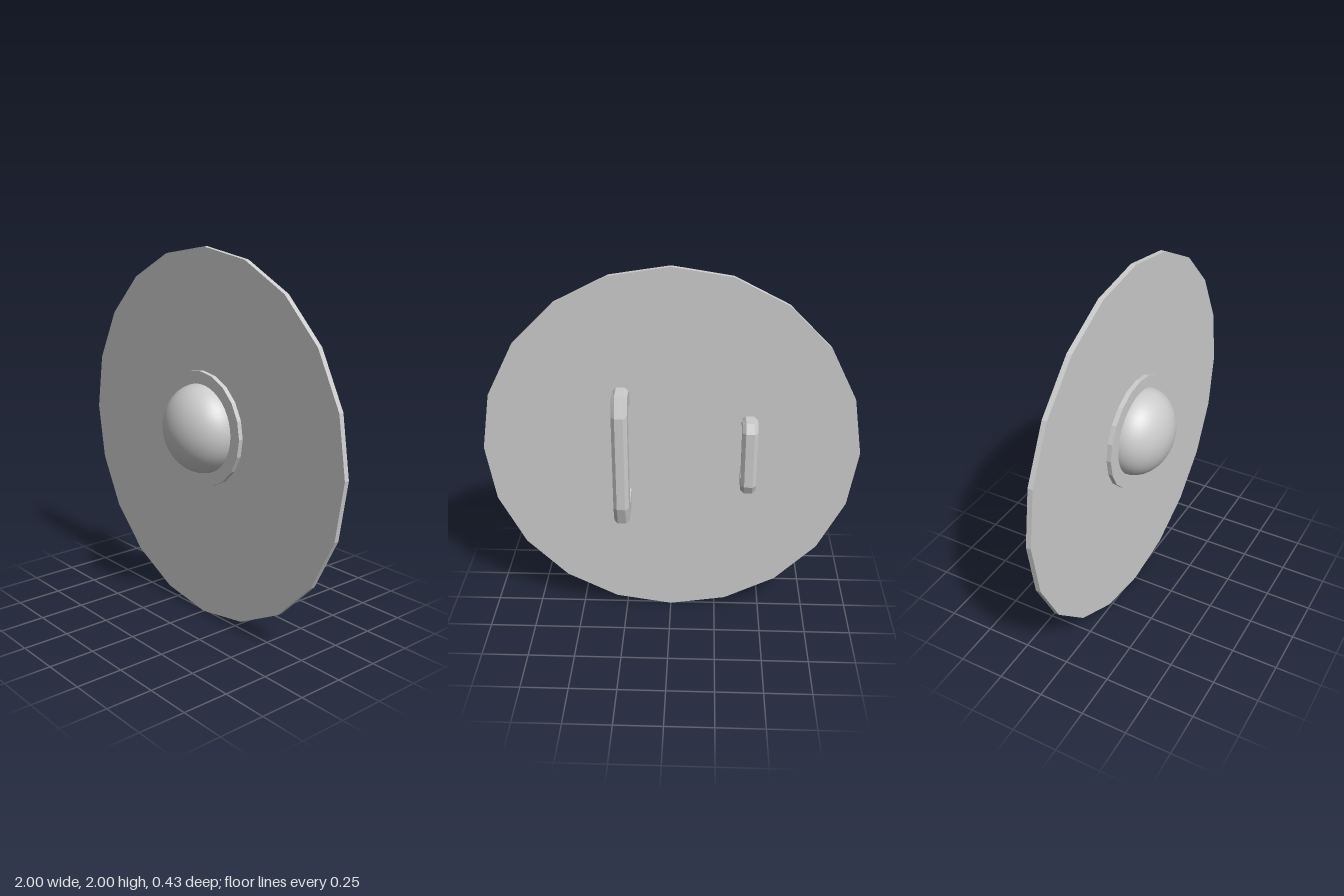
import * as THREE from 'three';

const flat = new THREE.MeshStandardMaterial({ color: 0xcccccc, flatShading: true });
const smooth = new THREE.MeshStandardMaterial({ color: 0xcccccc });

function add(group, name, geometry, material, x = 0, y = 0, z = 0) {
  const mesh = new THREE.Mesh(geometry, material);
  mesh.name = name;
  mesh.position.set(x, y, z);
  group.add(mesh);
}

// Twenty-sided disc facing +z
function disc(radius, depth) {
  return new THREE.CylinderGeometry(radius, radius, depth, 20).rotateX(Math.PI / 2);
}

// Bracket swept through stations [outerY, outerZ, innerY, innerZ], mirrored top to bottom.
// The section is a bar with its two outer edges bevelled.
function gripGeometry(half, halfWidth = 0.041, bevel = 0.019) {
  const mirrored = half.map(([oy, oz, iy, iz]) => [-oy, oz, -iy, iz]).reverse();
  const rings = [...half, ...mirrored].map(([oy, oz, iy, iz]) => {
    const t = bevel / Math.hypot(iy - oy, iz - oz);
    const sy = oy + (iy - oy) * t, sz = oz + (iz - oz) * t;
    const n = halfWidth - bevel;
    return [
      [-halfWidth, iy, iz], [halfWidth, iy, iz], [halfWidth, sy, sz],
      [n, oy, oz], [-n, oy, oz], [-halfWidth, sy, sz],
    ];
  });
  const positions = [];
  for (let i = 0; i < rings.length - 1; i++) {
    for (let k = 0; k < 6; k++) {
      const a = rings[i][k], b = rings[i + 1][k];
      const c = rings[i + 1][(k + 1) % 6], d = rings[i][(k + 1) % 6];
      positions.push(...a, ...b, ...c, ...a, ...c, ...d);
    }
  }
  const geometry = new THREE.BufferGeometry();
  geometry.setAttribute('position', new THREE.Float32BufferAttribute(positions, 3));
  geometry.computeVertexNormals();
  return geometry;
}

export function createModel() {
  const shield = new THREE.Group();
  shield.name = 'shield';

  // Face plate with raised collar and domed boss
  add(shield, 'plate', disc(1, 0.027), flat, 0, 1, 0);
  add(shield, 'bossCollar', disc(0.31, 0.04), flat, 0, 1.055, 0.019);
  const dome = new THREE.SphereGeometry(1, 40, 16, 0, Math.PI * 2, 0, Math.PI / 2);
  dome.rotateX(Math.PI / 2).scale(0.24, 0.24, 0.186);
  add(shield, 'boss', dome, smooth, 0.005, 1.058, 0.03);

  // Grips on the back
  add(shield, 'largeGrip', gripGeometry([
    [0.34, -0.005, 0.248, -0.005],
    [0.372, -0.066, 0.265, -0.066],
    [0.372, -0.178, 0.282, -0.12],
    [0.265, -0.216, 0.262, -0.12],
  ]), flat, 0.255, 1.013, 0);
  add(shield, 'smallGrip', gripGeometry([
    [0.188, -0.005, 0.14, -0.005],
    [0.205, -0.04, 0.15, -0.04],
    [0.205, -0.125, 0.163, -0.09],
    [0.155, -0.15, 0.152, -0.09],
  ]), flat, -0.411, 1.015, 0);

  return shield;
}
